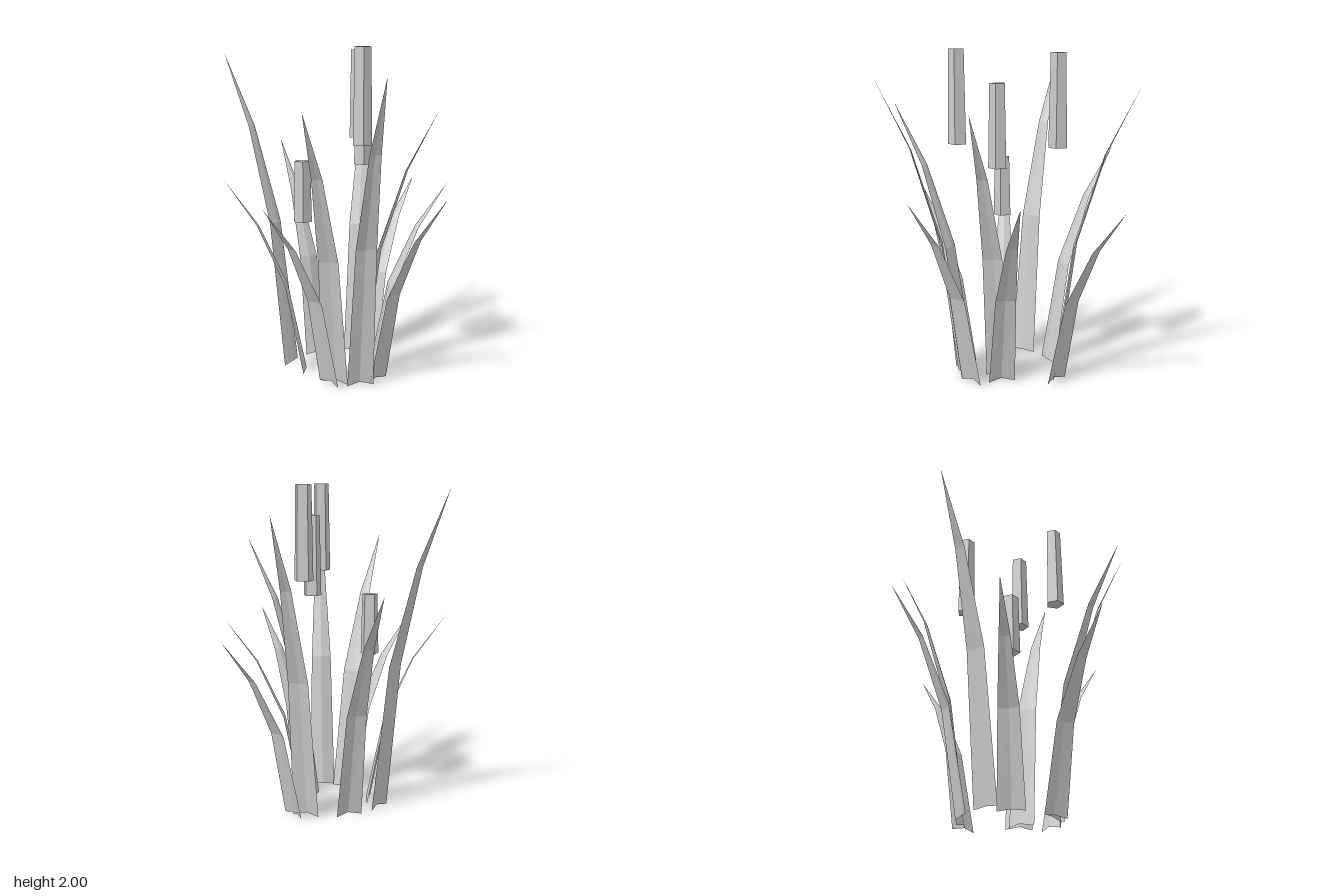
import * as THREE from 'three';

const reedGrey = new THREE.MeshStandardMaterial({ color: 0xcccccc, flatShading: true, side: THREE.DoubleSide });

// Blade outline: fraction of height, fraction of outward reach, half width
const LEVELS = [
  [0, 0, 0.081],
  [0.465, 0.23, 0.063],
  [0.77, 0.58, 0.034],
  [1, 1, 0],
];

// Creased leaf rising from the origin and bending towards +z
function bladeGeometry(height, reach) {
  const positions = [];
  const indices = [];
  LEVELS.forEach(([fy, fz, half], i) => {
    const y = height * fy;
    const z = reach * fz;
    const crease = half * 0.22;
    positions.push(-half, y, z, 0, y + (i === 0 ? 0.015 : 0), z - crease, half, y, z);
    if (i === LEVELS.length - 1) return;
    for (let side = 0; side < 2; side++) {
      const a = i * 3 + side;
      indices.push(a, a + 1, a + 4);
      if (i < LEVELS.length - 2) indices.push(a, a + 4, a + 3);
      else indices.splice(-3, 3, a, a + 1, a + 3);
    }
  });
  const geometry = new THREE.BufferGeometry();
  geometry.setAttribute('position', new THREE.Float32BufferAttribute(positions, 3));
  geometry.setIndex(indices);
  geometry.computeVertexNormals();
  return geometry;
}

// Base x, base z, tip x, tip z, tip height
const BLADES = [
  [0.085, -0.29, 0.06, -0.775, 1.81],
  [0.16, -0.31, 0.39, -0.74, 1.12],
  [0.258, 0.01, 0.67, -0.21, 1.17],
  [0.185, 0.05, 0.65, 0.08, 1.66],
  [0.315, 0.19, 0.73, 0.41, 1.18],
  [0.225, 0.29, 0.435, 0.72, 1.85],
  [0.07, 0.29, 0.0, 0.775, 1.67],
  [0.036, 0.31, -0.24, 0.71, 1.14],
  [-0.17, 0.12, -0.63, 0.23, 1.21],
  [-0.28, 0.012, -0.73, -0.11, 1.96],
  [-0.158, -0.188, -0.49, -0.53, 1.38],
];

// Centre x, centre z, bottom y, top y
const SEED_HEADS = [
  [0.09, -0.29, 1.43, 1.98],
  [0.187, 0.05, 1.31, 1.805],
  [0.225, 0.283, 1.45, 2.0],
  [-0.17, 0.12, 0.955, 1.325],
];

export function createModel() {
  const model = new THREE.Group();
  model.name = 'reedClump';

  // Ring of outward-leaning leaves
  for (const [bx, bz, tx, tz, height] of BLADES) {
    const dx = tx - bx;
    const dz = tz - bz;
    const blade = new THREE.Mesh(bladeGeometry(height, Math.hypot(dx, dz)), reedGrey);
    blade.name = 'leafBlade';
    blade.position.set(bx, 0, bz);
    blade.rotation.y = Math.atan2(dx, dz);
    model.add(blade);
  }

  // Five-sided tapered seed heads
  for (const [x, z, bottom, top] of SEED_HEADS) {
    const head = new THREE.Mesh(new THREE.CylinderGeometry(0.049, 0.058, top - bottom, 5), reedGrey);
    head.name = 'seedHead';
    head.position.set(x, (bottom + top) / 2, z);
    head.rotation.y = Math.PI / 2;
    model.add(head);
  }
  return model;
}
